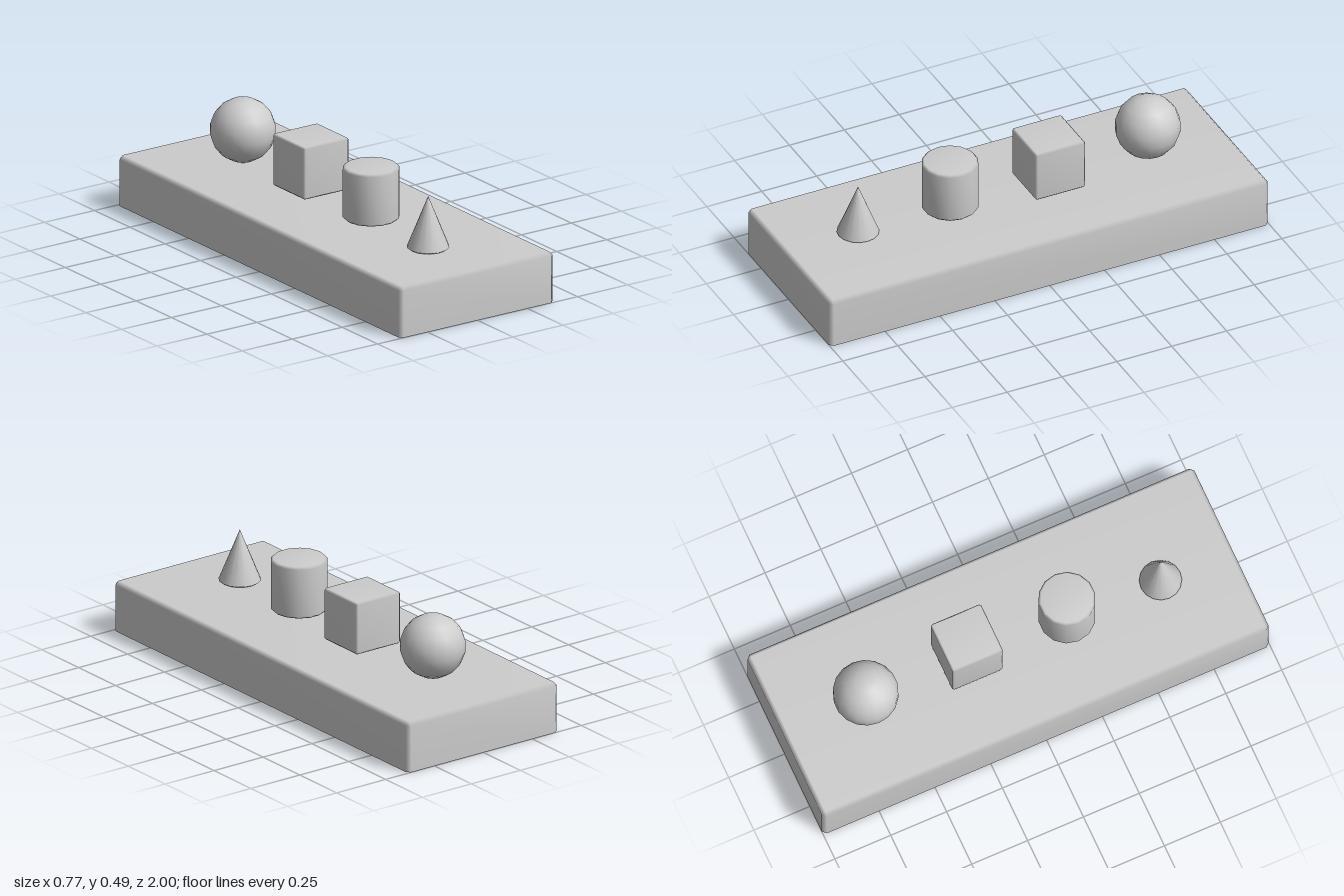
import * as THREE from 'three';
import { mergeVertices } from 'three/addons/utils/BufferGeometryUtils.js';

// Skin a stack of horizontal rings ({ y, pts: [[x, z], ...] }) with smooth normals.
function loft(rings, capBottom, capTop) {
  const n = rings[0].pts.length;
  const pos = [];
  const idx = [];
  for (const { y, pts } of rings) for (const [x, z] of pts) pos.push(x, y, z);
  for (let r = 0; r < rings.length - 1; r++) {
    for (let i = 0; i < n; i++) {
      const a = r * n + i, b = r * n + (i + 1) % n;
      idx.push(a, a + n, b + n, a, b + n, b);
    }
  }
  const cap = (r, up) => {
    const centre = pos.length / 3;
    pos.push(0, rings[r].y, 0);
    for (let i = 0; i < n; i++) {
      const a = r * n + i, b = r * n + (i + 1) % n;
      idx.push(centre, up ? b : a, up ? a : b);
    }
  };
  if (capBottom) cap(0, false);
  if (capTop) cap(rings.length - 1, true);
  const geo = new THREE.BufferGeometry();
  geo.setAttribute('position', new THREE.Float32BufferAttribute(pos, 3));
  geo.setIndex(idx);
  const merged = mergeVertices(geo);
  merged.computeVertexNormals();
  return merged;
}

// Rectangle with cut corners, as eight points
function cutRect(hx, hz, cx, cz) {
  const pts = [];
  [[1, 1], [-1, 1], [-1, -1], [1, -1]].forEach(([sx, sz], k) => {
    const p = [sx * hx, sz * (hz - cz)];
    const q = [sx * (hx - cx), sz * hz];
    pts.push(...(k % 2 ? [q, p] : [p, q]));
  });
  return pts;
}

// Box with one-step bevels; an open one keeps its straight rim and has no floor
function bevelledBox(w, h, d, b, open) {
  const wide = cutRect(w / 2, d / 2, b, b);
  const inset = cutRect(w / 2 - b, d / 2 - b, 0, 0);
  const rings = [
    { y: open ? 0 : b, pts: wide },
    { y: h - b, pts: wide },
    { y: h, pts: inset },
  ];
  if (!open) rings.unshift({ y: 0, pts: inset });
  return loft(rings, !open, true);
}

// Round solid from [radius, y] pairs
function turned(profile, sides, capTop) {
  const rings = profile.map(([r, y]) => ({
    y,
    pts: Array.from({ length: sides }, (_, i) => {
      const a = (i / sides) * Math.PI * 2;
      return [r * Math.cos(a), r * Math.sin(a)];
    }),
  }));
  return loft(rings, true, capTop);
}

export function createModel() {
  const model = new THREE.Group();
  model.name = 'shapesOnBase';

  const grey = new THREE.MeshStandardMaterial({ color: 0xcccccc, side: THREE.DoubleSide });
  grey.name = 'light grey';

  const add = (name, geometry, x, y, z) => {
    const mesh = new THREE.Mesh(geometry, grey);
    mesh.name = name;
    mesh.position.set(x, y, z);
    model.add(mesh);
  };

  // Hollow base, open underneath
  add('base', bevelledBox(0.77, 0.218, 2, 0.016, true), 0, 0, 0);

  // Four solids in a row, front to back
  add('cone', turned([[0.076, 0], [0.0875, 0.008], [0.0005, 0.225]], 16, false), -0.017, 0.222, 0.675);
  add('cylinder', turned([[0.108, 0], [0.118, 0.01], [0.118, 0.216], [0.108, 0.226]], 14, true), -0.008, 0.232, 0.26);
  add('cube', bevelledBox(0.226, 0.226, 0.226, 0.008, false), 0.004, 0.232, -0.183);
  add('sphere', new THREE.SphereGeometry(0.136, 18, 9), -0.011, 0.354, -0.642);

  return model;
}
